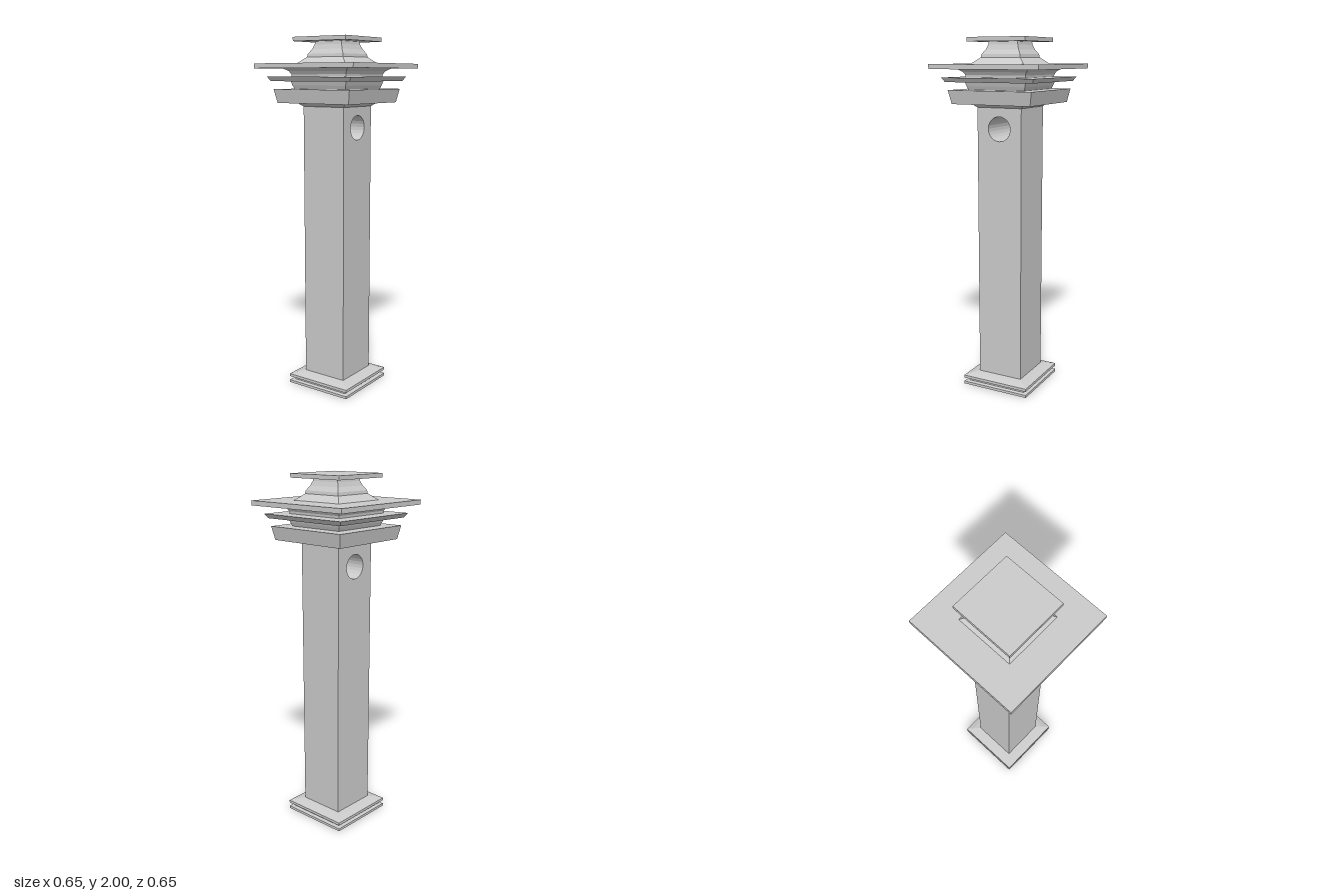
import * as THREE from 'three';

const material = new THREE.MeshStandardMaterial({ color: 0xcccccc, flatShading: true });

// Square moulding from [halfWidth, y] pairs, listed bottom to top
function squareMoulding(name, profile) {
  const points = profile.map(([w, y]) => new THREE.Vector2(w * Math.SQRT2, y));
  const mesh = new THREE.Mesh(new THREE.LatheGeometry(points, 4, Math.PI / 4), material);
  mesh.name = name;
  return mesh;
}

// Square shaft with a round hole running from side to side
function makeShaft() {
  const w = 0.135, bottom = 0.06, top = 1.64;
  const side = new THREE.Shape();
  side.moveTo(-w, bottom).lineTo(w, bottom).lineTo(w, top).lineTo(-w, top).closePath();
  const hole = new THREE.Path();
  hole.absarc(0, 1.51, 0.068, 0, Math.PI * 2, true);
  side.holes.push(hole);
  const geometry = new THREE.ExtrudeGeometry(side, { depth: 2 * w, bevelEnabled: false, curveSegments: 12 });
  geometry.translate(0, 0, -w).rotateY(Math.PI / 2);
  const mesh = new THREE.Mesh(geometry, material);
  mesh.name = 'shaft';
  return mesh;
}

export function createModel() {
  const group = new THREE.Group();
  group.name = 'pillar';

  // Foot with a groove and a sloped shoulder
  group.add(squareMoulding('base', [
    [0, 0], [0.203, 0], [0.203, 0.015], [0.18, 0.018], [0.18, 0.035],
    [0.203, 0.037], [0.203, 0.053], [0.17, 0.064], [0.135, 0.071], [0, 0.071],
  ]));

  group.add(makeShaft());

  // Flared collar and the leaning block above it
  group.add(squareMoulding('collar', [
    [0, 1.625], [0.135, 1.625], [0.145, 1.632], [0.162, 1.647], [0, 1.647],
  ]));
  group.add(squareMoulding('capitalBlock', [
    [0, 1.645], [0.237, 1.645], [0.252, 1.72], [0, 1.72],
  ]));

  // Neck, thin tray and cove under the roof slab
  group.add(squareMoulding('neck', [
    [0, 1.715], [0.168, 1.715], [0.178, 1.74], [0.187, 1.77], [0, 1.77],
  ]));
  group.add(squareMoulding('tray', [
    [0, 1.763], [0.262, 1.763], [0.277, 1.787], [0, 1.787],
  ]));
  group.add(squareMoulding('cove', [
    [0, 1.78], [0.18, 1.78], [0.182, 1.8], [0.192, 1.817], [0.215, 1.832], [0, 1.832],
  ]));
  group.add(squareMoulding('roofSlab', [
    [0, 1.832], [0.325, 1.832], [0.325, 1.858], [0, 1.858],
  ]));

  // Curved pedestal and the top plate
  group.add(squareMoulding('pedestal', [
    [0, 1.855], [0.162, 1.858], [0.12, 1.893], [0.117, 1.91],
    [0.1, 1.935], [0.09, 1.96], [0.087, 1.98], [0, 1.98],
  ]));
  group.add(squareMoulding('topPlate', [
    [0, 1.977], [0.175, 1.977], [0.175, 2], [0, 2],
  ]));

  return group;
}
